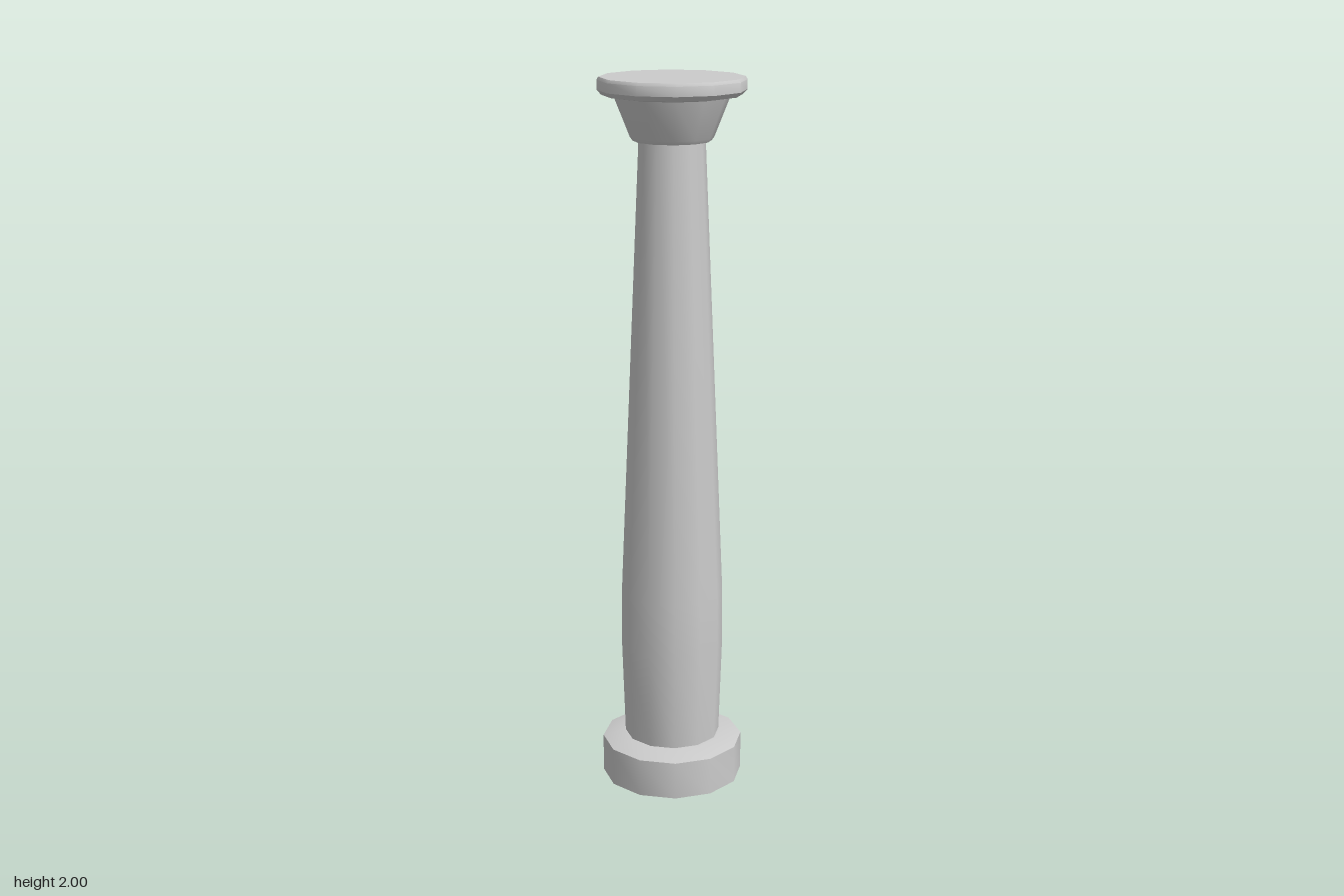
import * as THREE from 'three';
import { toCreasedNormals } from 'three/addons/utils/BufferGeometryUtils.js';

const SIDES = 12;
const material = new THREE.MeshStandardMaterial({ color: 0xcccccc, side: THREE.DoubleSide });

// Turns a profile of [radius, height] pairs, listed from bottom to top
function turned(name, profile) {
  const points = profile.map(([r, y]) => new THREE.Vector2(r, y));
  const geometry = toCreasedNormals(new THREE.LatheGeometry(points, SIDES), 0.6);
  const mesh = new THREE.Mesh(geometry, material);
  mesh.name = name;
  return mesh;
}

export function createModel() {
  const column = new THREE.Group();
  column.name = 'column';

  // Hollow base ring, open underneath, with a gently sloped top
  column.add(turned('base', [[0.2, 0], [0.2, 0.108], [0.14, 0.125], [0.135, 0.125]]));

  // Shaft swelling slightly low down, then tapering to the neck
  column.add(turned('shaft', [[0.135, 0.125], [0.144, 0.4], [0.143, 0.56], [0.09, 1.832]]));

  // Flared capital with a small bevel at its foot
  column.add(turned('capital', [[0.09, 1.832], [0.106, 1.832], [0.113, 1.842], [0.155, 1.948]]));

  // Round slab with softened rims, closed on top
  column.add(turned('topSlab', [
    [0.155, 1.948], [0.188, 1.953], [0.2, 1.966], [0.2, 1.992], [0.195, 2], [0, 2],
  ]));

  return column;
}
